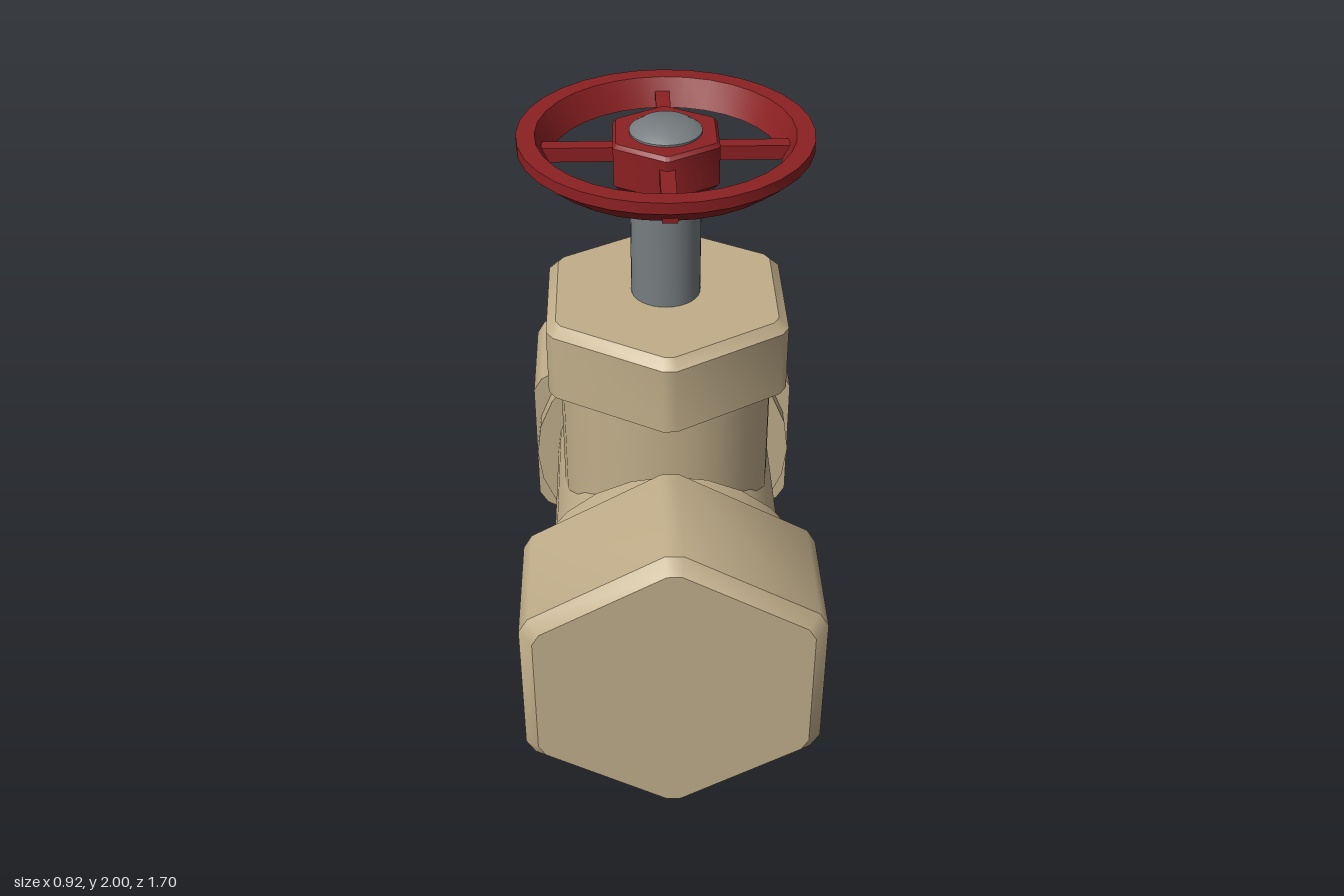
import * as THREE from 'three';
import { toCreasedNormals } from 'three/addons/utils/BufferGeometryUtils.js';

const brass = new THREE.MeshStandardMaterial({ color: 0xc1ae8a });
brass.name = 'tan brass';
const red = new THREE.MeshStandardMaterial({ color: 0x8c2022 });
red.name = 'dark red';
const steel = new THREE.MeshStandardMaterial({ color: 0x777d80 });
steel.name = 'grey steel';

const AXIS_Y = 0.515; // height of the main pipe's axis
const CREASE = 0.6;

// Hexagon with cut corners, one corner on the z axis
function hexOutline(flat, corner) {
  const half = (flat / Math.cos(Math.PI / 6) - corner) * Math.sqrt(3);
  const points = [];
  for (let k = 0; k < 6; k++) {
    const a = Math.PI / 6 + (k * Math.PI) / 3;
    for (const s of [-half, half]) {
      points.push([corner * Math.cos(a) - s * Math.sin(a), corner * Math.sin(a) + s * Math.cos(a)]);
    }
  }
  return points;
}

// Capped hexagonal prism; each ring is [flat distance, corner distance, y]
function hexGeometry(rings) {
  const n = 12;
  const position = [];
  const index = [];
  for (const [flat, corner, y] of rings) {
    for (const [x, z] of hexOutline(flat, corner)) position.push(x, y, z);
  }
  const last = rings.length - 1;
  const bottom = rings.length * n;
  position.push(0, rings[0][2], 0, 0, rings[last][2], 0);
  for (let i = 0; i < n; i++) {
    const j = (i + 1) % n;
    for (let r = 0; r < last; r++) {
      const a = r * n + i, b = r * n + j;
      index.push(a, a + n, b + n, a, b + n, b);
    }
    index.push(bottom, i, j, bottom + 1, last * n + j, last * n + i);
  }
  const g = new THREE.BufferGeometry();
  g.setAttribute('position', new THREE.Float32BufferAttribute(position, 3));
  g.setIndex(index);
  return toCreasedNormals(g, CREASE);
}

function latheGeometry(profile, segments) {
  const points = profile.map(([r, y]) => new THREE.Vector2(r, y));
  return toCreasedNormals(new THREE.LatheGeometry(points, segments), CREASE);
}

export function createModel() {
  const model = new THREE.Group();
  model.name = 'gateValve';

  function add(name, geometry, material, parent = model) {
    const mesh = new THREE.Mesh(geometry, material);
    mesh.name = name;
    parent.add(mesh);
    return mesh;
  }

  // Main pipe
  const pipe = add('pipe', new THREE.CylinderGeometry(0.38, 0.38, 0.9, 24), brass);
  pipe.rotation.x = Math.PI / 2;
  pipe.position.y = AXIS_Y;

  // Collar and chamfered hex nut at each end
  const nutGeometry = hexGeometry([[0.46, 0.515, 0.43], [0.46, 0.515, 0.81], [0.42, 0.472, 0.85]]);
  const collarGeometry = new THREE.CylinderGeometry(0.455, 0.455, 0.07, 24);
  for (const [side, sign] of [['front', 1], ['back', -1]]) {
    const end = new THREE.Group();
    end.name = side + 'End';
    end.position.y = AXIS_Y;
    end.rotation.x = (sign * Math.PI) / 2;
    add(side + 'Collar', collarGeometry, brass, end).position.y = 0.4;
    add(side + 'Nut', nutGeometry, brass, end);
    model.add(end);
  }

  // Upright neck with its bonnet nut
  add('neck', new THREE.CylinderGeometry(0.34, 0.34, 0.68, 24), brass).position.y = 0.86;
  add('bonnetNut', hexGeometry([[0.37, 0.415, 1.18], [0.37, 0.415, 1.4], [0.34, 0.383, 1.43]]), brass);

  // Stem with chamfered tip
  add('stem', latheGeometry([[0, 1.4], [0.108, 1.4], [0.108, 1.978], [0.075, 2], [0, 2]], 32), steel);

  // Handwheel: hex hub, rim and four spokes
  const wheel = new THREE.Group();
  wheel.name = 'handwheel';
  model.add(wheel);
  add('hub', hexGeometry([
    [0.147, 0.166, 1.828], [0.156, 0.177, 1.84], [0.156, 0.177, 1.96], [0.147, 0.166, 1.972],
  ]), red, wheel);
  add('rim', latheGeometry([
    [0.345, 1.885], [0.375, 1.88], [0.44, 1.935], [0.44, 1.97], [0.385, 1.97], [0.345, 1.885],
  ], 32), red, wheel);
  const spokeGeometry = new THREE.BoxGeometry(0.28, 0.045, 0.045);
  for (let i = 0; i < 4; i++) {
    const a = (i * Math.PI) / 2;
    const spoke = add('spoke', spokeGeometry, red, wheel);
    spoke.position.set(0.26 * Math.cos(a), 1.908, -0.26 * Math.sin(a));
    spoke.rotation.y = a;
  }

  return model;
}
